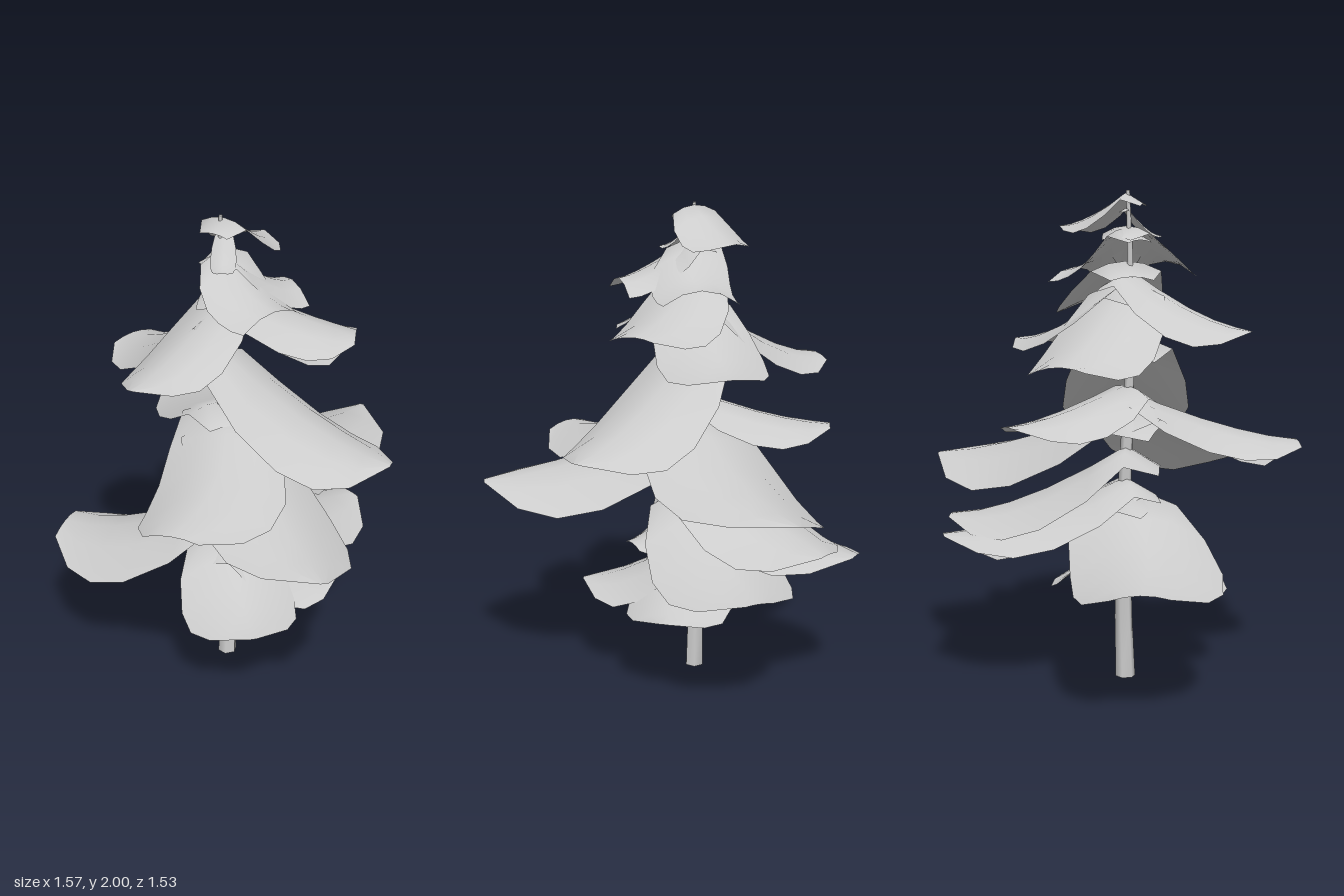
import * as THREE from 'three';

const TRUNK_X = -0.105, TRUNK_Z = -0.05;

// base: height at trunk, half: half width, end: tip width as a share of half,
// bend: sideways curve, roll: tilt about the blade's own axis
const BOUGHS = [
  { base: 1.99, tip: [0.17, 1.86, -0.08], half: 0.15, end: 0.03 },
  { base: 1.93, tip: [-0.22, 1.82, 0.04], half: 0.05, end: 0.4 },
  { base: 1.86, tip: [-0.17, 1.71, 0.26], half: 0.16, end: 0.95, bend: 0.03 },
  { base: 1.85, tip: [0.165, 1.69, 0.07], half: 0.16, end: 0.95, bend: 0.03 },
  { base: 1.72, tip: [0.18, 1.54, 0.38], half: 0.21, end: 0.4, bend: -0.02 },
  { base: 1.68, tip: [-0.63, 1.45, -0.06], half: 0.2, end: 0.08, roll: -0.12 },
  { base: 1.63, tip: [-0.05, 1.34, -0.62], half: 0.24, end: 0.42 },
  { base: 1.62, tip: [0.43, 1.39, 0.09], half: 0.22, end: 0.1 },
  { base: 1.42, tip: [0.13, 1.06, 0.61], half: 0.27, end: 0.08 },
  { base: 1.22, tip: [0.21, 1.09, -0.52], half: 0.22, end: 0.25 },
  { base: 1.2, tip: [-0.75, 0.99, 0.24], half: 0.26, end: 0.42, bend: -0.08 },
  { base: 1.12, tip: [-0.47, 0.86, 0.75], half: 0.28, end: 0.06, roll: 0.15 },
  { base: 1.15, tip: [0.77, 0.89, 0], half: 0.32, end: 0.03, bend: 0.05, roll: 0.16 },
  { base: 0.97, tip: [0.59, 0.68, -0.26], half: 0.29, end: 0.18 },
  { base: 0.84, tip: [0.54, 0.63, -0.43], half: 0.26, end: 0.15 },
  { base: 0.78, tip: [-0.4, 0.53, -0.73], half: 0.3, end: 0.38, bend: -0.06 },
  { base: 0.8, tip: [0.6, 0.54, 0.07], half: 0.28, end: 0.2, bend: 0.02 },
  { base: 0.8, tip: [-0.12, 0.6, 0.24], half: 0.14, end: 0.5 },
  { base: 0.6, tip: [-0.39, 0.38, 0.34], half: 0.24, end: 0.05 },
  { base: 0.58, tip: [0.23, 0.37, 0.29], half: 0.22, end: 0.08 },
];

// Arched blade that wraps behind the trunk, sweeps down, flattens at the tip and droops at its sides
function boughGeometry({ base, tip, half, end, bend = 0, roll = 0 }) {
  const dx = tip[0] - TRUNK_X, dz = tip[2] - TRUNK_Z;
  const length = Math.hypot(dx, dz);
  const rows = [
    [-0.48 * half / length, 0.42], [0, 0.7], [0.2, 0.92], [0.45, 1],
    [0.66, 0.93 + 0.07 * end], [0.84, 0.66 + 0.34 * end], [1, end],
  ];
  const cols = 4;
  const geometry = new THREE.PlaneGeometry(2, 1, cols, rows.length - 1);
  const pos = geometry.attributes.position;
  for (let i = 0; i < pos.count; i++) {
    const [t, w] = rows[rows.length - 1 - Math.floor(i / (cols + 1))];
    const across = pos.getX(i) * w;
    const side = across * half + bend * Math.sin(Math.PI * Math.max(t, 0));
    const drop = t < 0
      ? -0.6 * t * length
      : (base - tip[1]) * (1 - Math.pow(1 - t, 1.6));
    pos.setXYZ(
      i,
      TRUNK_X + dx * t - dz * side / length,
      base - drop - 0.4 * half * across * across + roll * side,
      TRUNK_Z + dz * t + dx * side / length
    );
  }
  geometry.computeVertexNormals();
  return geometry;
}

// Slim tapered trunk with a slight bend
function trunkGeometry() {
  const geometry = new THREE.CylinderGeometry(0.008, 0.041, 2, 6, 8);
  geometry.translate(0, 1, 0);
  const pos = geometry.attributes.position;
  for (let i = 0; i < pos.count; i++) {
    const y = pos.getY(i);
    pos.setX(i, pos.getX(i) + TRUNK_X + 0.014 * Math.sin(Math.PI * y) - 0.005 * y);
    pos.setZ(i, pos.getZ(i) + TRUNK_Z - 0.004 * y);
  }
  geometry.computeVertexNormals();
  return geometry;
}

export function createModel() {
  const model = new THREE.Group();
  model.name = 'conifer';

  const grey = new THREE.MeshStandardMaterial({ color: 0xcccccc, side: THREE.DoubleSide });
  grey.name = 'light grey';

  const trunk = new THREE.Mesh(trunkGeometry(), grey);
  trunk.name = 'trunk';
  model.add(trunk);

  const foliage = new THREE.Group();
  foliage.name = 'foliage';
  BOUGHS.forEach((spec, i) => {
    const bough = new THREE.Mesh(boughGeometry(spec), grey);
    bough.name = `bough${i + 1}`;
    foliage.add(bough);
  });
  model.add(foliage);

  return model;
}
